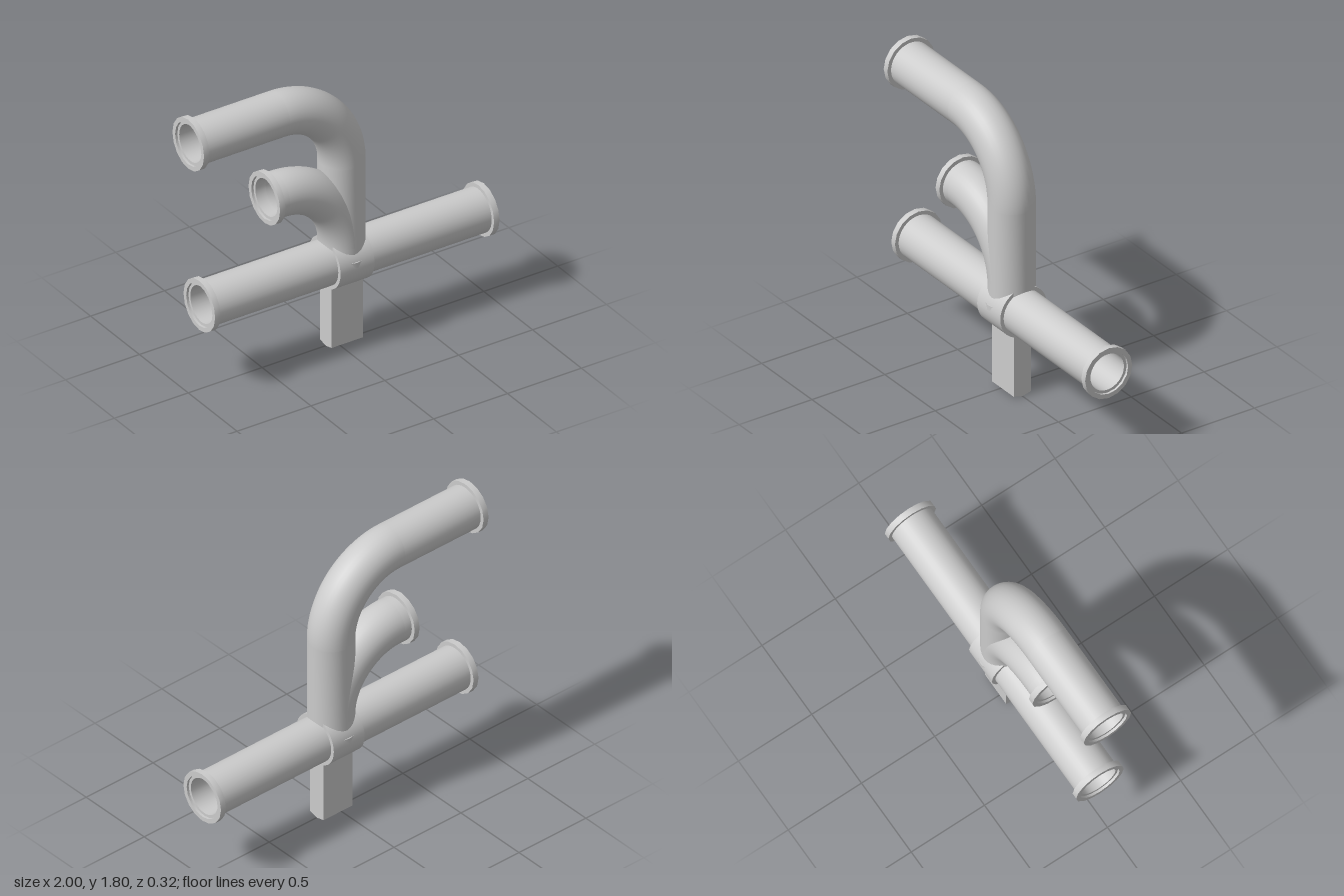
import * as THREE from 'three';
import { toCreasedNormals } from 'three/addons/utils/BufferGeometryUtils.js';

const R = 0.137, BORE = 0.115, FLANGE = 0.162, BEND = 0.437;
const STEM_X = 0.037, MAIN_Y = 0.553, TOP_Y = 1.643, BRANCH_Y = 1.113;

export function createModel() {
  const group = new THREE.Group();
  const mat = new THREE.MeshStandardMaterial({ color: 0xcccccc });
  const inside = new THREE.MeshStandardMaterial({ color: 0xcccccc, side: THREE.DoubleSide });

  const add = (name, geometry, x, y, material = mat) => {
    const mesh = new THREE.Mesh(geometry, material);
    mesh.name = name;
    mesh.position.set(x, y, 0);
    group.add(mesh);
    return mesh;
  };

  // Hollow ring with square edges, its axis along y from 0 to length
  const ring = (outer, inner, length, sides) => {
    const p = [[inner, 0], [outer, 0], [outer, length], [inner, length], [inner, 0]];
    const g = new THREE.LatheGeometry(p.map(([r, h]) => new THREE.Vector2(r, h)), sides);
    return toCreasedNormals(g, 0.6);
  };
  const ringAlongX = (name, x0, x1, y, outer, inner, sides) =>
    add(name, ring(outer, inner, x1 - x0, sides).rotateZ(-Math.PI / 2), x0, y);

  // Quarter bend turning from the upright stem towards -x
  const bend = (name, y) => {
    const cx = STEM_X - BEND, cy = y - BEND;
    for (const [part, r, m] of [['Outer', R, mat], ['Inner', BORE, inside]])
      add(name + part, new THREE.TorusGeometry(BEND, r, 32, 32, Math.PI / 2), cx, cy, m);
  };

  // Straight main pipe with its central sleeve and inner collar
  ringAlongX('mainPipe', -0.91, 0.985, MAIN_Y, R, BORE, 32);
  ringAlongX('mainSleeve', -0.075, 0.155, MAIN_Y, 0.16, BORE, 32);
  ringAlongX('innerCollar', -0.02, 0.02, MAIN_Y, 0.12, 0.086, 32);

  // Upright stem, seated on a flange inside the sleeve
  add('stem', ring(R, BORE, TOP_Y - BEND - 0.58, 32), STEM_X, 0.58);
  add('stemFlange', new THREE.CylinderGeometry(FLANGE, FLANGE, 0.037, 16), STEM_X, 0.575);
  add('stemPin', new THREE.BoxGeometry(0.02, 0.04, 0.015), STEM_X, 0.54);

  // Upper outlet
  bend('upperBend', TOP_Y);
  ringAlongX('upperPipe', -0.985, STEM_X - BEND, TOP_Y, R, BORE, 32);

  // Short side branch
  bend('branchBend', BRANCH_Y);
  ringAlongX('branchPipe', -0.47, STEM_X - BEND, BRANCH_Y, R, BORE, 32);

  // End flanges, each a lip standing slightly proud of its pipe
  const flanges = [
    ['upperFlange', -1, TOP_Y], ['branchFlange', -0.485, BRANCH_Y],
    ['mainRightFlange', -0.925, MAIN_Y], ['mainLeftFlange', 0.963, MAIN_Y],
  ];
  for (const [name, x, y] of flanges)
    ringAlongX(name, x, x + 0.037, y, FLANGE, 0.134, 16);

  // Mounting post with a shallow ridge underneath
  const section = new THREE.Shape();
  section.moveTo(0, 0).lineTo(0.06, 0.015).lineTo(0.06, 0.43).lineTo(-0.06, 0.43).lineTo(-0.06, 0.015);
  const post = new THREE.ExtrudeGeometry(section, { depth: 0.214, bevelEnabled: false });
  add('post', post.translate(0, 0, -0.107).rotateY(Math.PI / 2), STEM_X, 0);

  return group;
}
